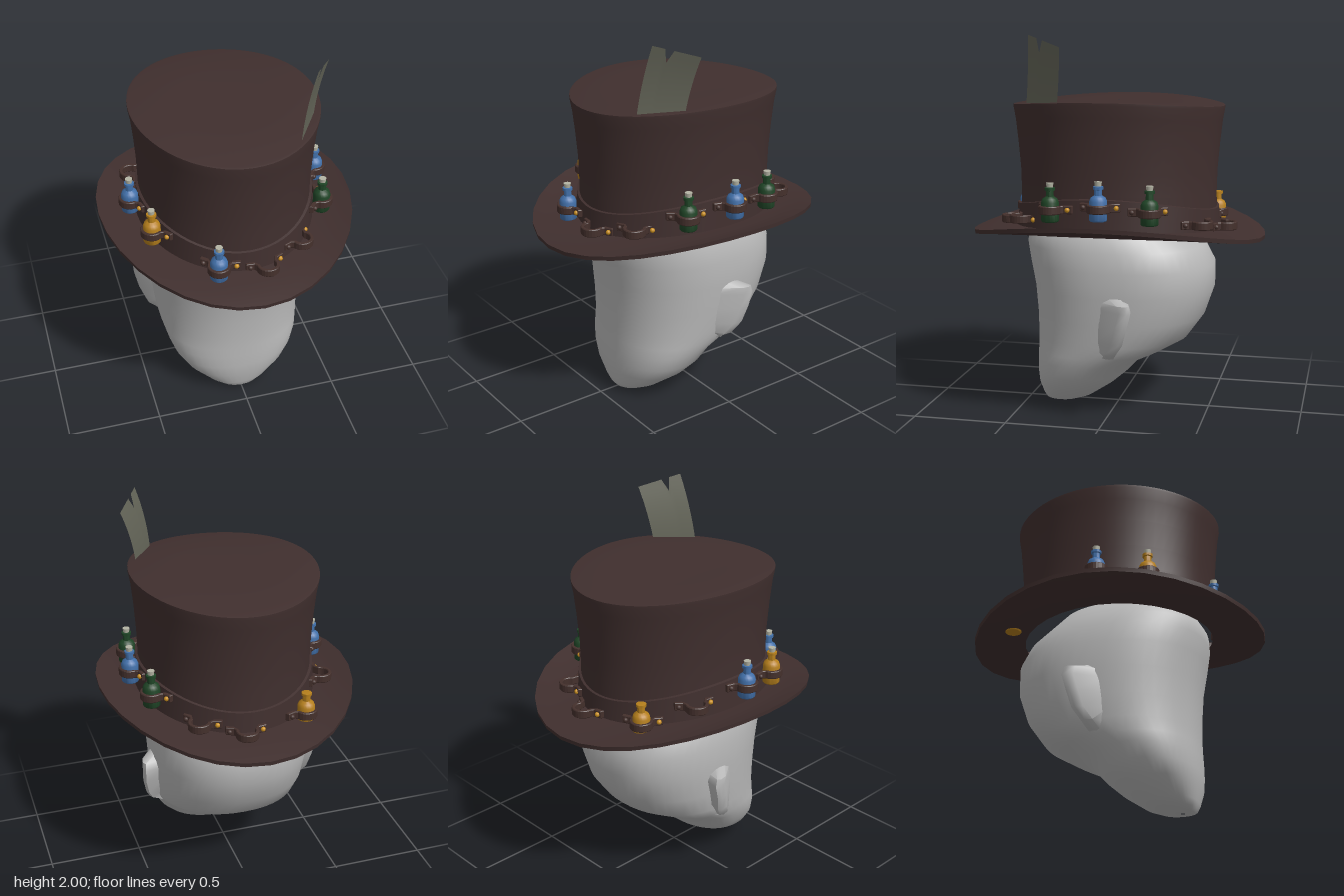
import * as THREE from 'three';
import { toCreasedNormals } from 'three/addons/utils/BufferGeometryUtils.js';

const material = (name, color, side = THREE.FrontSide) => {
  const m = new THREE.MeshStandardMaterial({ color, side });
  m.name = name;
  return m;
};

// Skin closed rings of [x, y, z] points, ordered counterclockwise from above and going up.
function loft(rings, crease = 0) {
  const n = rings[0].length, index = [];
  for (let i = 0; i < rings.length - 1; i++) {
    for (let j = 0; j < n; j++) {
      const k = (j + 1) % n, a = i * n, b = a + n;
      index.push(a + j, a + k, b + k, a + j, b + k, b + j);
    }
  }
  const g = new THREE.BufferGeometry();
  g.setAttribute('position', new THREE.Float32BufferAttribute(rings.flat(2), 3));
  g.setIndex(index);
  g.computeVertexNormals();
  return crease ? toCreasedNormals(g, crease) : g;
}

// Oval ring; height rises by "lift" towards the two sides.
function oval(rx, rz, y, lift = 0, cz = 0, power = 2, n = 64) {
  return Array.from({ length: n }, (_, j) => {
    const a = (j / n) * Math.PI * 2, s = Math.sin(a), c = Math.cos(a);
    const bulge = (v) => Math.sign(v) * Math.abs(v) ** (2 / power);
    return [rx * bulge(s), y + lift * s * s, cz + rz * bulge(c)];
  });
}

export function createModel() {
  const model = new THREE.Group();
  model.name = 'hatOnHead';
  const skin = material('headGrey', 0xb8b8b8);
  const felt = material('hatBrown', 0x402f2e);
  const leather = material('strapBrown', 0x44302c);
  const blue = material('blueGlass', 0x416fa8);
  const green = material('greenGlass', 0x1f4426);
  const amber = material('amberGlass', 0xb57f1c);
  const cork = material('corkGrey', 0xb4b4a4);
  const brass = material('brass', 0xc98f20);
  const paper = material('cardOlive', 0x66675a, THREE.DoubleSide);
  const add = (parent, name, geometry, mat) => {
    const mesh = new THREE.Mesh(geometry, mat);
    mesh.name = name;
    parent.add(mesh);
    return mesh;
  };

  // Head: height, half width, front z, back z
  const headRows = [
    [0, 0.01, 0.34, 0.32], [0.003, 0.06, 0.39, 0.27], [0.02, 0.12, 0.405, 0.2],
    [0.05, 0.18, 0.415, 0.127], [0.13, 0.28, 0.432, 0.01], [0.2, 0.335, 0.435, -0.07],
    [0.275, 0.365, 0.433, -0.14], [0.33, 0.382, 0.431, -0.26], [0.4, 0.397, 0.43, -0.386],
    [0.52, 0.412, 0.433, -0.472], [0.667, 0.425, 0.445, -0.522], [0.8, 0.427, 0.47, -0.522],
    [0.9, 0.408, 0.487, -0.47], [0.97, 0.38, 0.483, -0.39], [1.06, 0.32, 0.43, -0.3],
    [1.13, 0.2, 0.3, -0.17], [1.16, 0.01, 0.08, 0.06],
  ];
  add(model, 'head', loft(headRows.map(([y, w, f, b]) =>
    oval(w, (f - b) / 2, y, 0, (f + b) / 2, 2.25, 48))), skin);

  // Ears: height, tip x, tip z, front z
  const earRows = [
    [0.34, 0.38, -0.05, -0.02], [0.38, 0.44, -0.075, 0.02], [0.44, 0.468, -0.115, 0.04],
    [0.53, 0.488, -0.14, 0.05], [0.61, 0.493, -0.162, 0.05], [0.65, 0.49, -0.15, 0.04],
    [0.675, 0.42, -0.09, 0],
  ];
  for (const side of [1, -1]) {
    const rings = earRows.map(([y, x, z, f]) => {
      const ring = [[0.39, y, f], [x - 0.008, y, z + 0.06], [x, y, z + 0.02],
        [x - 0.012, y, z], [0.37, y, z + 0.02]].map((p) => [p[0] * side, p[1], p[2]]);
      return side > 0 ? ring : ring.reverse();
    });
    add(model, side > 0 ? 'leftEar' : 'rightEar', loft(rings, 0.9), skin);
  }

  // Hat: saddle-shaped brim, flared crown and band
  const hat = new THREE.Group();
  hat.name = 'topHat';
  model.add(hat);
  add(hat, 'brim', loft([
    oval(0.43, 0.51, 0.968, 0.03, 0, 2, 32), oval(0.54, 0.63, 0.957, 0.05, 0, 2, 32),
    oval(0.62, 0.72, 0.947, 0.083, 0, 2, 32), oval(0.675, 0.785, 0.938, 0.117, 0, 2, 32),
    oval(0.677, 0.788, 0.96, 0.117, 0, 2, 32), oval(0.62, 0.72, 0.974, 0.083, 0, 2, 32),
    oval(0.54, 0.63, 0.985, 0.05, 0, 2, 32), oval(0.43, 0.51, 0.995, 0.03, 0, 2, 32),
  ], 0.6), felt);
  add(hat, 'crown', loft([
    oval(0.455, 0.53, 0.97, 0.03), oval(0.45, 0.525, 1.18, 0.02), oval(0.453, 0.528, 1.3, 0.025),
    oval(0.462, 0.54, 1.44, 0.03), oval(0.474, 0.553, 1.56, 0.035), oval(0.485, 0.564, 1.622, 0.035),
    oval(0.485, 0.564, 1.635, 0.035), oval(0.475, 0.553, 1.638, 0.034),
    oval(0.25, 0.29, 1.653, 0.008), oval(0.002, 0.002, 1.657),
  ], 0.6), felt);
  add(hat, 'hatBand', loft([
    oval(0.473, 0.548, 0.98, 0.03), oval(0.464, 0.539, 1.1, 0.085), oval(0.448, 0.522, 1.104, 0.085),
  ], 0.6), felt);

  // Notched card standing out of the crown
  const cardAt = (u, v) => {
    const y = 1.58 + v * 0.42 - u * v * 0.06;
    const bend = v * v * 0.065 + v * 0.02;
    return [0.272 + u * 0.125 + bend, y, 0.435 - u * 0.195 - v * 0.045];
  };
  const cardPos = [], cardIndex = [], columns = [0, 0.27, 0.36, 0.45, 1], steps = 8;
  columns.forEach((u, c) => {
    for (let r = 0; r <= steps; r++) cardPos.push(...cardAt(u, (r / steps) * (c === 2 ? 0.83 : 1)));
    for (let r = 0; c && r < steps; r++) {
      const a = (c - 1) * (steps + 1) + r, b = a + steps + 1;
      cardIndex.push(a, b, b + 1, a, b + 1, a + 1);
    }
  });
  const card = new THREE.BufferGeometry();
  card.setAttribute('position', new THREE.Float32BufferAttribute(cardPos, 3));
  card.setIndex(cardIndex);
  card.computeVertexNormals();
  add(hat, 'card', card, paper);

  // Shared bottle, cork, strap and stud shapes
  const bottleGeo = toCreasedNormals(new THREE.LatheGeometry([
    [0.001, 0], [0.04, 0], [0.045, 0.006], [0.045, 0.1], [0.038, 0.118], [0.02, 0.13], [0.019, 0.158],
    [0.026, 0.16], [0.026, 0.174], [0.017, 0.176], [0.001, 0.176],
  ].map(([x, y]) => new THREE.Vector2(x, y)), 20), 0.7);
  const corkGeo = new THREE.CylinderGeometry(0.019, 0.016, 0.024, 14);
  const strapPath = (r, flat) => {
    const points = [[-0.1, flat - 0.012], [-0.062, flat]];
    for (let i = 0; i <= 14; i++) {
      const a = Math.PI * (1.08 - (1.16 * i) / 14);
      points.push([r * Math.cos(a), r * Math.sin(a)]);
    }
    return [...points, [0.062, flat], [0.1, flat - 0.012]].map(([x, y]) => new THREE.Vector2(x, y));
  };
  const strapShape = new THREE.Shape([...strapPath(0.056, -0.028), ...strapPath(0.044, -0.044).reverse()]);
  const strapGeo = new THREE.ExtrudeGeometry(strapShape, {
    depth: 0.034, bevelEnabled: true, bevelSize: 0.003, bevelThickness: 0.004, bevelSegments: 1,
  });
  strapGeo.translate(0, 0, -0.017);
  strapGeo.rotateX(Math.PI / 2);
  const studGeo = new THREE.SphereGeometry(0.013, 10, 8);

  // Twelve holders around the band: x, z, glass (none for an empty loop), height offset
  const holders = [
    [0.51, -0.005, blue], [0.46, -0.255, green], [0.465, 0.255, green], [0.3, 0.47], [0.08, 0.585],
    [-0.175, 0.56, blue], [-0.45, 0.275, amber], [-0.51, 0.02, blue], [-0.46, -0.28],
    [-0.285, -0.5, amber, -0.04], [0.06, -0.6], [0.285, -0.5],
  ];
  holders.forEach(([x, z, glass, drop = 0]) => {
    const holder = new THREE.Group();
    holder.name = glass ? 'bottleHolder' : 'emptyLoop';
    holder.position.set(x, 0.975 + 0.113 * (x / 0.51) ** 2 + drop, z);
    holder.rotation.y = Math.atan2(x / 0.26, z / 0.36);
    hat.add(holder);
    const y = glass ? 0.062 : 0.038;
    const strap = add(holder, 'strap', strapGeo, leather);
    strap.position.y = y;
    if (!glass) strap.position.z = -0.012;
    [[-1, leather], [1, brass]].forEach(([s, mat]) => {
      add(holder, 'stud', studGeo, mat).position.set(s * 0.085, y, glass ? -0.03 : -0.042);
    });
    if (!glass) return;
    add(holder, 'bottle', bottleGeo, glass);
    if (!drop) add(holder, 'cork', corkGeo, cork).position.y = 0.186;
  });
  return model;
}
